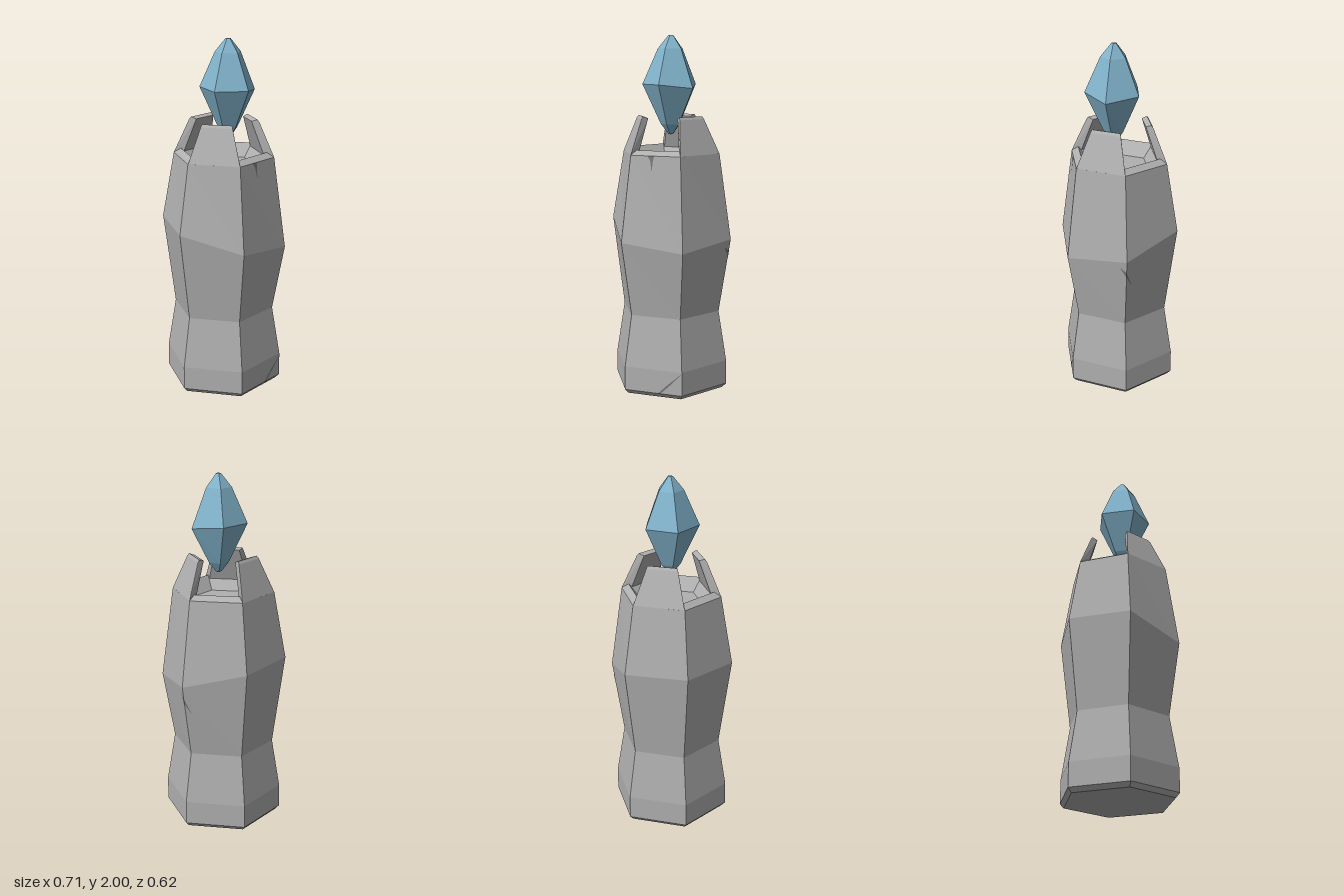
import * as THREE from 'three';
import { ConvexGeometry } from 'three/addons/geometries/ConvexGeometry.js';

const stone = new THREE.MeshStandardMaterial({ color: 0xb0b0b0 });
stone.name = 'stone grey';
const crystal = new THREE.MeshStandardMaterial({ color: 0x82b4cc });
crystal.name = 'crystal blue';
const crackShade = new THREE.MeshStandardMaterial({ color: 0x777777, side: THREE.DoubleSide });
crackShade.name = 'crack grey';

function mesh(name, geometry, material) {
  const m = new THREE.Mesh(geometry, material);
  m.name = name;
  return m;
}

// Flat-shaded faces from a list of triangle corners
function facets(points) {
  const g = new THREE.BufferGeometry().setFromPoints(points);
  g.computeVertexNormals();
  return g;
}

// Skin a stack of rings that all have the same number of corners
function loft(rings) {
  const pts = [];
  for (let k = 0; k < rings.length - 1; k++) {
    const low = rings[k], high = rings[k + 1], n = low.length;
    for (let i = 0; i < n; i++) {
      const j = (i + 1) % n;
      for (const tri of [[low[i], high[i], high[j]], [low[i], high[j], low[j]]]) {
        const area = new THREE.Triangle(...tri).getArea();
        if (area > 1e-9) pts.push(...tri);
      }
    }
  }
  return facets(pts);
}

// Hexagonal ring; y is one height or one height per corner
function hexRing(r, y) {
  return Array.from({ length: 6 }, (_, i) => {
    const a = i * Math.PI / 3;
    return new THREE.Vector3(r * Math.cos(a), Array.isArray(y) ? y[i] : y, r * Math.sin(a));
  });
}

// Thin sliver of crack from pairs of points along its two edges
function crack(name, edgeA, edgeB) {
  const pts = [];
  const v = (p) => new THREE.Vector3(...p);
  for (let i = 0; i < edgeA.length - 1; i++) {
    pts.push(v(edgeA[i]), v(edgeB[i]), v(edgeB[i + 1]));
    pts.push(v(edgeA[i]), v(edgeB[i + 1]), v(edgeA[i + 1]));
  }
  return mesh(name, facets(pts), crackShade);
}

export function createModel() {
  const model = new THREE.Group();
  model.name = 'crystalPillar';

  // Six-sided pillar with an uneven waist and a hollow top
  const profile = [
    [0, 0], [0.315, 0], [0.338, 0.025], [0.337, 0.16], [0.289, 0.45],
    [0.357, [0.87, 0.83, 0.87, 0.96, 0.97, 0.96]],
    [0.287, 1.35], [0.245, 1.375], [0.18, 1.3], [0, 1.3],
  ];
  model.add(mesh('pillar', loft(profile.map(([r, y]) => hexRing(r, y))), stone));

  // Three leaning prongs on alternate sides of the rim
  // rows: distance from the axis, height, half width
  const prong = [
    [0.2485, 1.35, 0.143], [0.205, 1.34, 0.115],
    [0.18, 1.54, 0.088], [0.17, 1.555, 0.083], [0.14, 1.545, 0.07],
  ];
  const prongPoints = [];
  for (const [d, y, w] of prong) {
    for (const s of [-1, 1]) prongPoints.push(new THREE.Vector3(s * w, y, d));
  }
  const prongGeometry = new ConvexGeometry(prongPoints);
  ['leftProng', 'backProng', 'rightProng'].forEach((name, i) => {
    const p = mesh(name, prongGeometry, stone);
    p.rotation.y = Math.PI / 3 + i * 2 * Math.PI / 3;
    model.add(p);
  });

  // Floating five-sided crystal, its rings scaled about a leaning axis
  const girdle = [[0.16, 0.09, 1.71], [-0.005, 0.185, 1.73], [-0.145, 0.065, 1.73],
    [-0.07, -0.115, 1.73], [0.115, -0.095, 1.73]];
  const cx = 0.01, cz = 0.025;
  const gemRing = (s, y) => girdle.map(([x, z, gy]) =>
    new THREE.Vector3(cx + (x - cx) * s, y ?? gy, cz + (z - cz) * s));
  const gem = loft([
    gemRing(0, 1.45), gemRing(0.1, 1.455), gemRing(0.36, 1.51), gemRing(1),
    gemRing(0.46, 1.925), gemRing(0.09, 1.998), gemRing(0, 2),
  ]);
  model.add(mesh('crystal', gem, crystal));

  // Cracks at the foot, the side and the front rim
  model.add(crack('footCrack',
    [[0.03, 0.027, 0.295], [0.09, 0.085, 0.295], [0.165, 0.15, 0.294]],
    [[0.045, 0.027, 0.295], [0.1, 0.08, 0.295], [0.165, 0.147, 0.294]]));
  model.add(crack('sideCrack',
    [[0.333, 0.83, 0.032], [0.347, 0.8, 0], [0.318, 0.715, -0.03]],
    [[0.333, 0.82, 0.03], [0.342, 0.77, 0], [0.318, 0.712, -0.03]]));
  model.add(crack('rimCrack',
    [[-0.045, 1.35, 0.251], [-0.028, 1.325, 0.255], [-0.018, 1.27, 0.262]],
    [[-0.005, 1.35, 0.251], [-0.012, 1.325, 0.255], [-0.016, 1.27, 0.262]]));

  return model;
}
